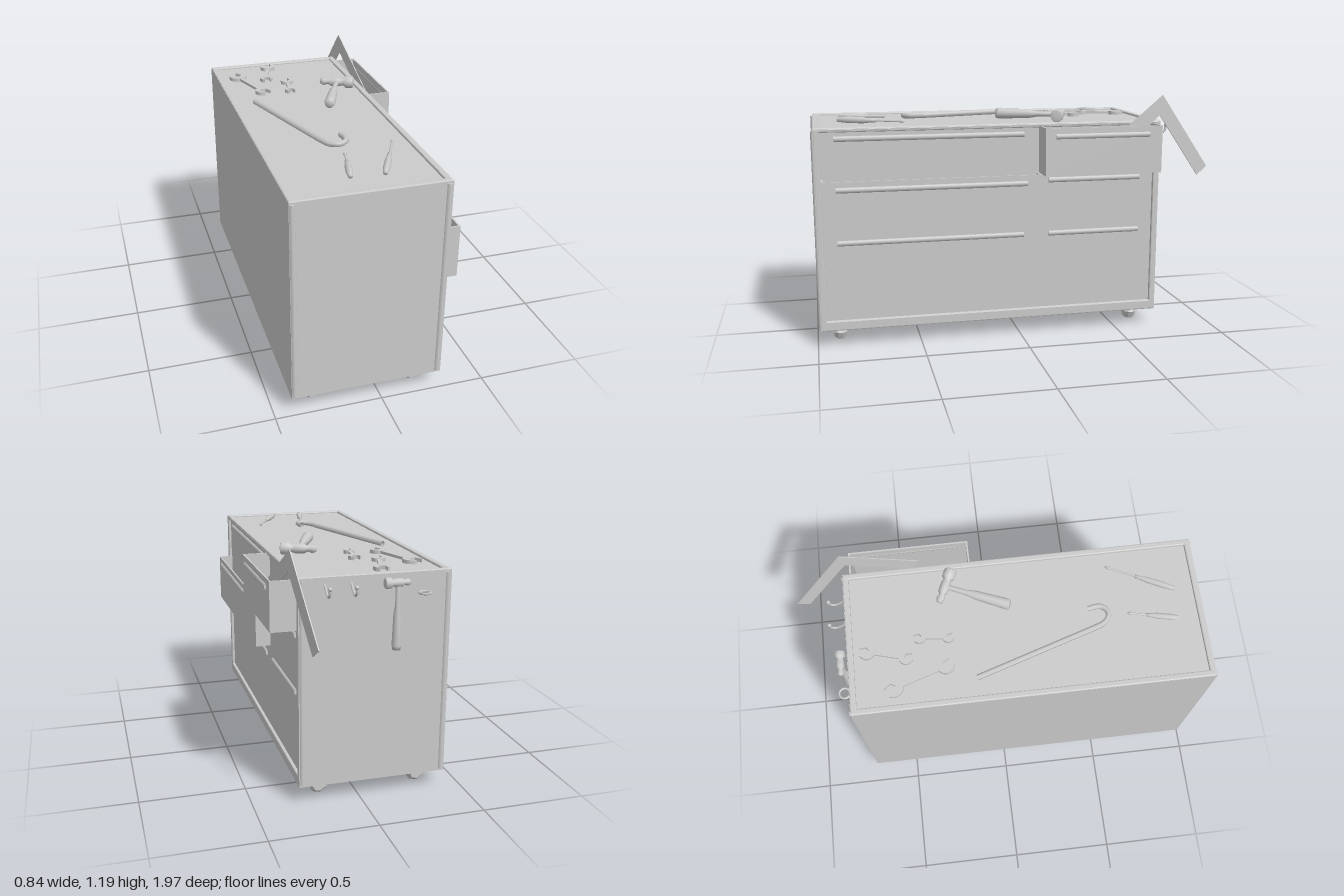
import * as THREE from 'three';

const mat = new THREE.MeshStandardMaterial({ color: 0xcccccc, side: THREE.DoubleSide });
const flat = new THREE.MeshStandardMaterial({ color: 0xcccccc, side: THREE.DoubleSide, flatShading: true });
const V = (x, y, z) => new THREE.Vector3(x, y, z);

function add(parent, name, geo, material = mat) {
  const m = new THREE.Mesh(geo, material);
  m.name = name;
  parent.add(m);
  return m;
}

// box given by its two extreme corners
function block(parent, name, x0, x1, y0, y1, z0, z1) {
  const m = add(parent, name, new THREE.BoxGeometry(x1 - x0, y1 - y0, z1 - z0));
  m.position.set((x0 + x1) / 2, (y0 + y1) / 2, (z0 + z1) / 2);
  return m;
}

// rectangular frame in the xy plane with bevelled edges, facing +z
function frameGeo(a0, a1, b0, b1, side, bottom, top, depth) {
  const rect = (P, l, r, b, t) => {
    const p = new P();
    p.moveTo(l, b); p.lineTo(r, b); p.lineTo(r, t); p.lineTo(l, t); p.closePath();
    return p;
  };
  const s = rect(THREE.Shape, a0, a1, b0, b1);
  s.holes.push(rect(THREE.Path, a0 + side, a1 - side, b0 + bottom, b1 - top));
  const bevel = 0.006;
  return new THREE.ExtrudeGeometry(s, {
    depth: depth - 2 * bevel, bevelEnabled: true, bevelSize: bevel, bevelOffset: -bevel,
    bevelThickness: bevel, bevelSegments: 2,
  }).translate(0, 0, bevel);
}

// group lying on the top, local +x running from (x0,z0) to (x1,z1)
function lay(parent, name, x0, z0, x1, z1, y) {
  const g = new THREE.Group();
  g.name = name;
  g.position.set(x0, y, z0);
  g.rotation.y = Math.atan2(z0 - z1, x1 - x0);
  parent.add(g);
  return { g, len: Math.hypot(x1 - x0, z1 - z0) };
}

// profile of [radius, distance] pairs turned around local x
function turned(pairs, sides) {
  const geo = new THREE.LatheGeometry(pairs.map(([r, d]) => new THREE.Vector2(r, d)), sides);
  return geo.rotateZ(-Math.PI / 2);
}

function wrench(parent, x0, z0, x1, z1, r) {
  const { g, len } = lay(parent, 'wrench', x0, z0, x1, z1, 1.055);
  const flatExtrude = (shape, h) =>
    new THREE.ExtrudeGeometry(shape, { depth: h, bevelEnabled: false, curveSegments: 10 }).rotateX(-Math.PI / 2);
  const shaft = add(g, 'wrenchShaft', new THREE.BoxGeometry(len - r * 1.2, 0.013, r * 0.55));
  shaft.position.set(len / 2, 0.009, 0);
  // open jaws, turned slightly off the shaft
  for (const [x, turn, k] of [[0, Math.PI + 0.3, 1.05], [len, 0.3, 0.9]]) {
    const R = r * k, s = new THREE.Shape();
    s.absarc(0, 0, R, 0.5, Math.PI * 2 - 0.5, false);
    s.lineTo(0, -R * 0.5);
    s.lineTo(-R * 0.3, 0);
    s.lineTo(0, R * 0.5);
    const jaw = add(g, 'wrenchJaw', flatExtrude(s, 0.018));
    jaw.position.x = x;
    jaw.rotation.y = turn;
  }
}

// handle along +x, head along z with the striking face at +z
function hammer(name, len, headLen, k) {
  const g = new THREE.Group();
  g.name = name;
  add(g, 'hammerHandle', turned([[0, 0], [0.024 * k, 0], [0.028 * k, 0.02], [0.022 * k, len * 0.5],
    [0.013 * k, len * 0.65], [0.013 * k, len], [0, len]], 10));
  const h = headLen / 2;
  const head = add(g, 'hammerHead', turned([[0, -h], [0.014 * k, -h * 0.95], [0.021 * k, -h * 0.75],
    [0.014 * k, -h * 0.5], [0.024 * k, -h * 0.3], [0.024 * k, h * 0.2], [0.018 * k, h * 0.4],
    [0.031 * k, h * 0.55], [0.031 * k, h * 0.95], [0.026 * k, h], [0, h]], 10));
  head.rotation.y = -Math.PI / 2;
  head.position.x = len - 0.015;
  return g;
}

function screwdriver(parent, x0, z0, x1, z1, grip) {
  const { g, len } = lay(parent, 'screwdriver', x0, z0, x1, z1, 1.075);
  add(g, 'screwdriverGrip', turned([[0, 0], [0.011, 0.003], [0.016, grip * 0.3], [0.015, grip * 0.7],
    [0.009, grip * 0.9], [0.01, grip], [0, grip]], 8));
  add(g, 'screwdriverBlade', turned([[0.005, grip], [0.005, len - 0.025], [0.009, len - 0.012],
    [0.004, len], [0, len]], 6));
}

// open-topped pulled-out drawer
function drawer(parent, xFront, y0, y1, z0, z1) {
  const g = new THREE.Group(), t = 0.008, x0 = 0.275;
  g.name = 'openDrawer';
  block(g, 'drawerFront', xFront - t, xFront, y0, y1, z0, z1);
  block(g, 'drawerBottom', x0, xFront - t, y0, y0 + t, z0, z1);
  block(g, 'drawerSide', x0, xFront - t, y0 + t, y1, z0, z0 + t);
  block(g, 'drawerSide', x0, xFront - t, y0 + t, y1, z1 - t, z1);
  parent.add(g);
}

export function createModel() {
  const model = new THREE.Group();
  model.name = 'toolCabinet';

  // cabinet shell, open underneath
  const body = new THREE.Group();
  body.name = 'cabinet';
  model.add(body);
  block(body, 'frontWall', -0.42, 0.29, 0.08, 1.06, 0.975, 0.985);
  block(body, 'backWall', -0.42, 0.29, 0.08, 1.06, -0.715, -0.705);
  block(body, 'leftWall', -0.42, -0.41, 0.08, 1.06, -0.705, 0.975);
  block(body, 'drawerPanel', 0.265, 0.275, 0.08, 1.05, -0.705, 0.975);
  block(body, 'top', -0.41, 0.275, 1.043, 1.053, -0.705, 0.975);
  add(body, 'topRim', frameGeo(-0.42, 0.29, -0.985, 0.715, 0.03, 0.03, 0.03, 0.022).rotateX(-Math.PI / 2))
    .position.y = 1.042;
  add(body, 'drawerFrame', frameGeo(-0.985, 0.715, 0.08, 1.06, 0.03, 0.05, 0.012, 0.02).rotateY(Math.PI / 2))
    .position.x = 0.271;
  for (const x of [-0.405, 0.273]) for (const z of [-0.706, 0.978]) {
    const post = add(body, 'cornerPost', new THREE.CylinderGeometry(0.016, 0.016, 0.96, 8));
    post.position.set(x, 0.57, z);
  }

  // drawers: seams of the closed ones are left by the two pulled out
  drawer(model, 0.35, 0.57, 0.82, -0.09, 0.955);
  drawer(model, 0.408, 0.82, 1.05, -0.68, -0.095);

  // handles: three rows, long and short
  const bars = [[0.435, 0.91, [0.277, 0.35, 0.277]], [-0.38, 0.47, [0.407, 0.277, 0.277]]];
  for (const [z, len, xs] of bars) [1.01, 0.78, 0.51].forEach((y, i) => {
    const bar = add(model, 'drawerHandle', new THREE.CylinderGeometry(0.013, 0.013, len, 8).rotateX(Math.PI / 2));
    bar.position.set(xs[i], y, z);
    bar.scale.x = 0.7;
  });

  // wheels
  for (const x of [-0.31, 0.177]) for (const z of [-0.615, 0.89]) {
    const w = add(model, 'wheel', turned([[0, -0.03], [0.03, -0.03], [0.046, -0.012], [0.046, 0.012],
      [0.03, 0.03], [0, 0.03]], 7).rotateY(Math.PI / 2), flat);
    w.position.set(x, 0.045, z);
  }

  // tools lying on the top
  wrench(model, -0.31, -0.51, -0.23, -0.26, 0.044);
  wrench(model, -0.12, -0.62, -0.17, -0.44, 0.037);
  wrench(model, -0.075, -0.37, -0.09, -0.235, 0.03);
  const lying = lay(model, 'lyingHammer', 0.03, 0.07, 0.165, -0.24, 1.09);
  lying.g.add(hammer('hammer', lying.len, 0.177, 1));
  screwdriver(model, -0.12, 0.855, -0.07, 0.62, 0.15);
  screwdriver(model, 0.03, 0.865, 0.18, 0.55, 0.2);

  // pry bar with hooked end
  const pry = new THREE.CurvePath();
  pry.add(new THREE.LineCurve3(V(-0.305, 1.068, -0.12), V(-0.125, 1.07, 0.45)));
  pry.add(new THREE.CatmullRomCurve3([V(-0.125, 1.07, 0.45), V(-0.103, 1.073, 0.505), V(-0.065, 1.078, 0.53),
    V(-0.028, 1.08, 0.51), V(-0.022, 1.082, 0.475), V(-0.03, 1.083, 0.435)]));
  add(model, 'pryBar', new THREE.TubeGeometry(pry, 40, 0.014, 6));

  // back wall: hanging hammer, ring and two hooks
  const hung = hammer('hangingHammer', 0.32, 0.12, 0.8);
  hung.rotation.set(0, Math.PI / 2, Math.PI / 2);
  hung.position.set(-0.15, 0.72, -0.752);
  model.add(hung);
  const ring = add(model, 'ring', new THREE.TorusGeometry(0.025, 0.006, 6, 14).rotateX(Math.PI / 2));
  ring.position.set(-0.28, 0.97, -0.748);
  for (const x of [0.05, 0.17]) {
    const path = new THREE.CatmullRomCurve3([V(x, 1.03, -0.71), V(x, 1.0, -0.74), V(x, 0.985, -0.77),
      V(x, 1.0, -0.79), V(x, 1.025, -0.793)]);
    add(model, 'wallHook', new THREE.TubeGeometry(path, 14, 0.006, 6));
    add(model, 'hookTip', new THREE.SphereGeometry(0.01, 8, 6)).position.set(x, 1.025, -0.793);
  }

  // carpenter's square standing in the upper drawer
  const s = new THREE.Shape();
  const L = 0.46, W = 0.07;
  s.moveTo(0, 0); s.lineTo(L, 0); s.lineTo(L, -W); s.lineTo(W, -W); s.lineTo(W, -L); s.lineTo(0, -L);
  s.closePath();
  const square = add(model, 'carpenterSquare',
    new THREE.ExtrudeGeometry(s, { depth: 0.005, bevelEnabled: false }).rotateZ(-0.64));
  square.rotation.y = Math.atan2(-0.67, 0.13);
  square.position.set(0.326, 1.19, -0.71);
  return model;
}
